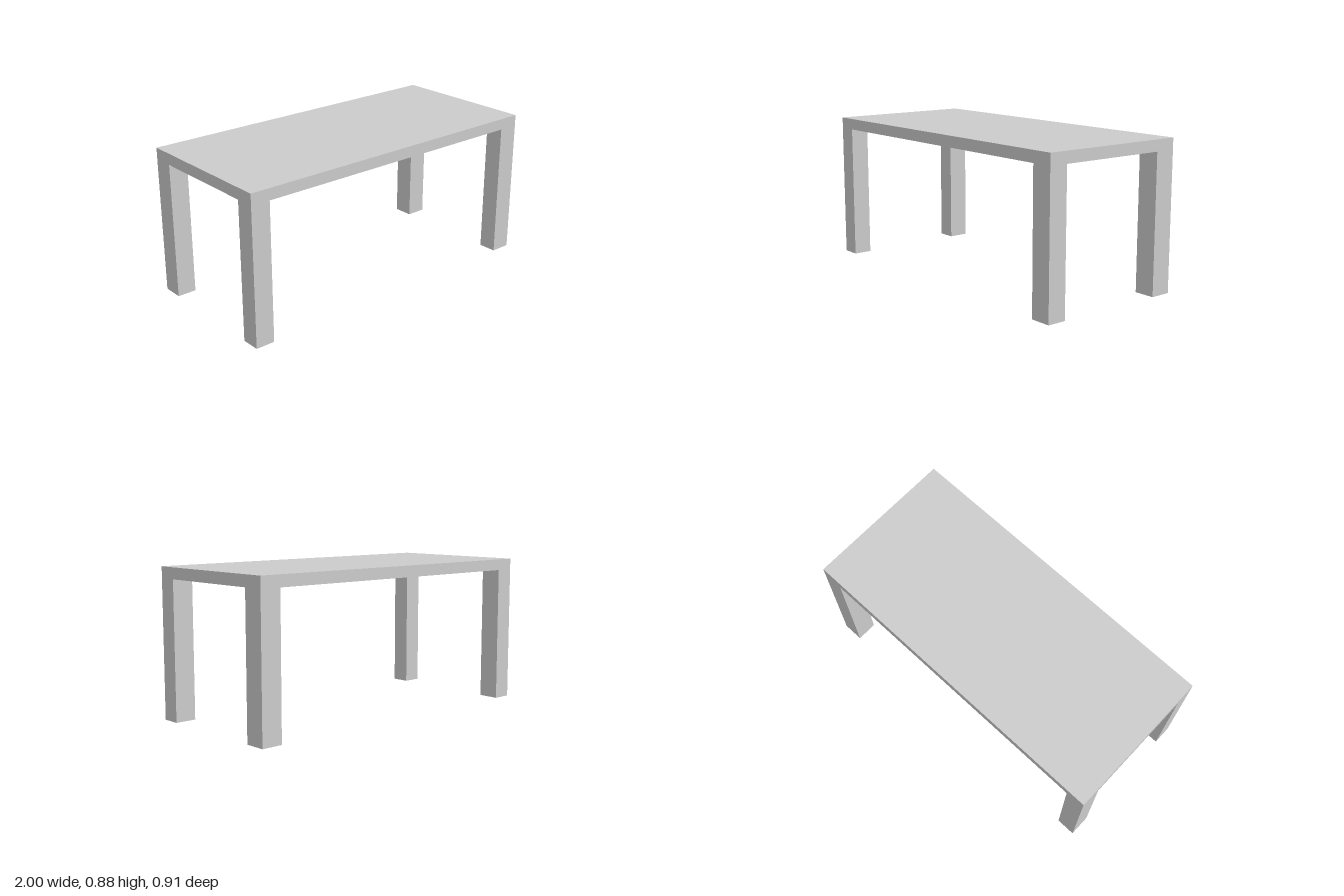
import * as THREE from 'three';

const HEIGHT = 0.885, UNDERSIDE = 0.818, HALF_X = 1, HALF_Z = 0.453;

export function createModel() {
  const table = new THREE.Group();
  table.name = 'table';
  const material = new THREE.MeshStandardMaterial({ color: 0xcccccc, flatShading: true });

  // Box given by its size and centre
  const addBox = (name, w, h, d, x, y, z) => {
    const mesh = new THREE.Mesh(new THREE.BoxGeometry(w, h, d), material);
    mesh.name = name;
    mesh.position.set(x, y, z);
    table.add(mesh);
  };

  // Flat top slab
  const thickness = HEIGHT - UNDERSIDE;
  addBox('tableTop', HALF_X * 2, thickness, HALF_Z * 2, 0, UNDERSIDE + thickness / 2, 0);

  // Four corner legs, flush with the edges; the left and back ones slightly thicker
  const sides = [{ name: 'Left', sign: 1, width: 0.127 }, { name: 'Right', sign: -1, width: 0.115 }];
  const ends = [{ name: 'front', sign: 1, depth: 0.113 }, { name: 'back', sign: -1, depth: 0.127 }];
  for (const side of sides) {
    for (const end of ends) {
      addBox(
        `${end.name}${side.name}Leg`, side.width, UNDERSIDE, end.depth,
        side.sign * (HALF_X - side.width / 2), UNDERSIDE / 2, end.sign * (HALF_Z - end.depth / 2),
      );
    }
  }
  return table;
}
